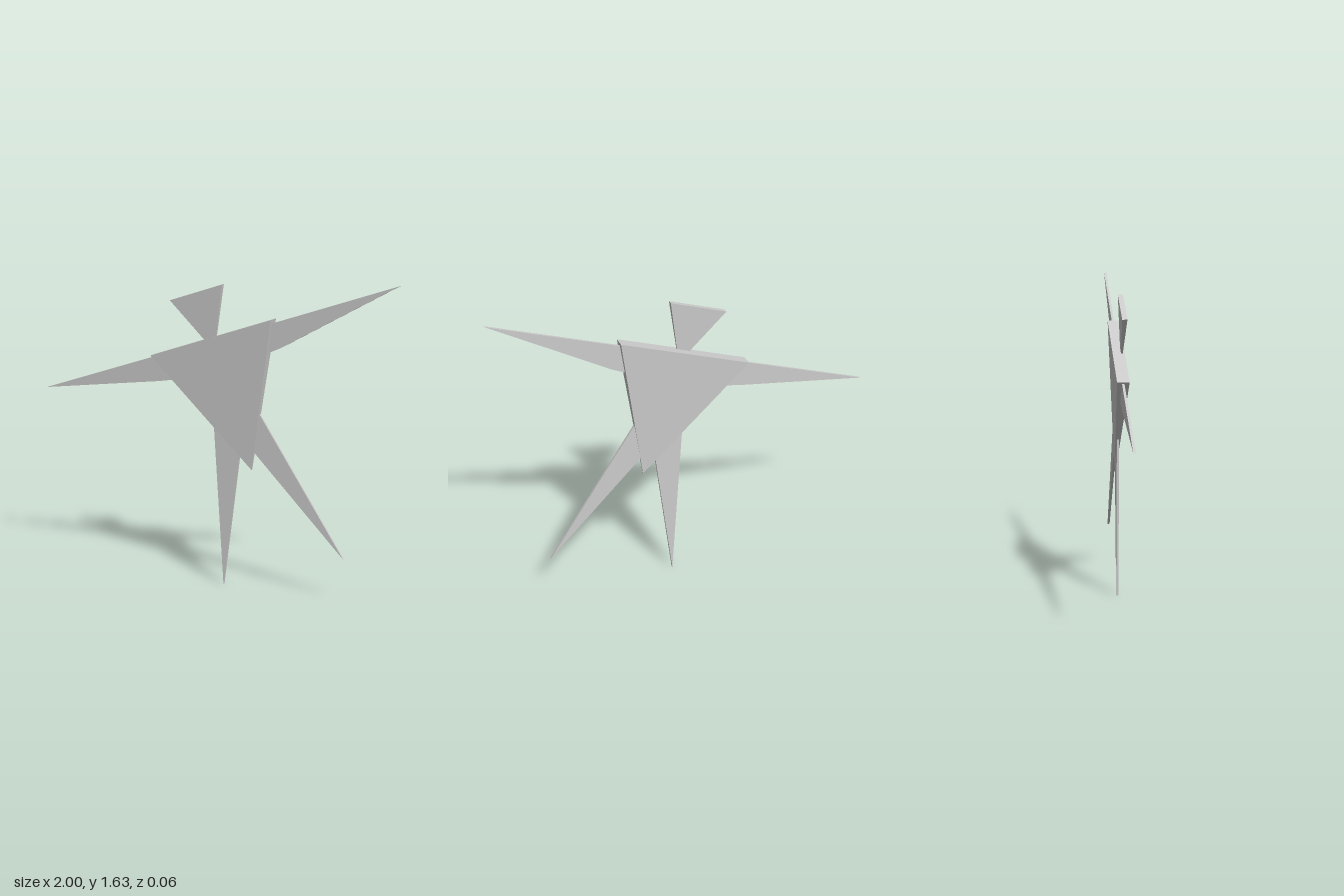
import * as THREE from 'three';

const material = new THREE.MeshStandardMaterial({ color: 0xcccccc, flatShading: true });

// Flat outline given thickness; half-thickness runs from `edge` along the first two
// points to `tip` at the third, so wedges thin out towards their point.
function plate(name, points, edge, tip = edge, zMid = 0) {
  const corners = points.map(([x, y]) => new THREE.Vector2(x, y));
  const geometry = new THREE.ExtrudeGeometry(new THREE.Shape(corners), { depth: 2, bevelEnabled: false });
  geometry.translate(0, 0, -1);

  const [a, b, c] = corners;
  const along = b.clone().sub(a);
  const span = along.cross(c.clone().sub(a));
  const pos = geometry.attributes.position;
  const p = new THREE.Vector2();
  for (let i = 0; i < pos.count; i++) {
    p.set(pos.getX(i), pos.getY(i)).sub(a);
    const t = along.cross(p) / span;
    pos.setZ(i, zMid + pos.getZ(i) * THREE.MathUtils.lerp(edge, tip, t));
  }
  geometry.computeVertexNormals();
  const mesh = new THREE.Mesh(geometry, material);
  mesh.name = name;
  return mesh;
}

export function createModel() {
  const model = new THREE.Group();
  model.name = 'triangleFigure';
  const limb = 0.006;

  // Wedge-shaped torso and head, thick along the top and thin at the lower point
  model.add(plate('torso', [[-0.345, 1.185], [0.338, 1.422], [0.225, 0.635]], 0.031, 0.003));
  model.add(plate('head', [[-0.23, 1.48], [0.065, 1.58], [0.02, 1.235]], 0.013, 0.002, 0.016));

  // Thin limbs, each a long spike rooted inside the torso
  model.add(plate('leftArm', [[1, 1.632], [0.25, 1.372], [0.25, 1.22], [0.38, 1.28]], limb));
  model.add(plate('rightArm', [[-1, 0.95], [-0.3, 1.05], [-0.18, 1.073], [-0.25, 1.206]], limb));
  model.add(plate('rightLeg', [[0.067, 0], [0.175, 0.85], [0.01, 0.85]], limb));
  model.add(plate('leftLeg', [[0.738, 0.235], [0.25, 0.96], [0.2, 0.77]], limb));
  return model;
}
